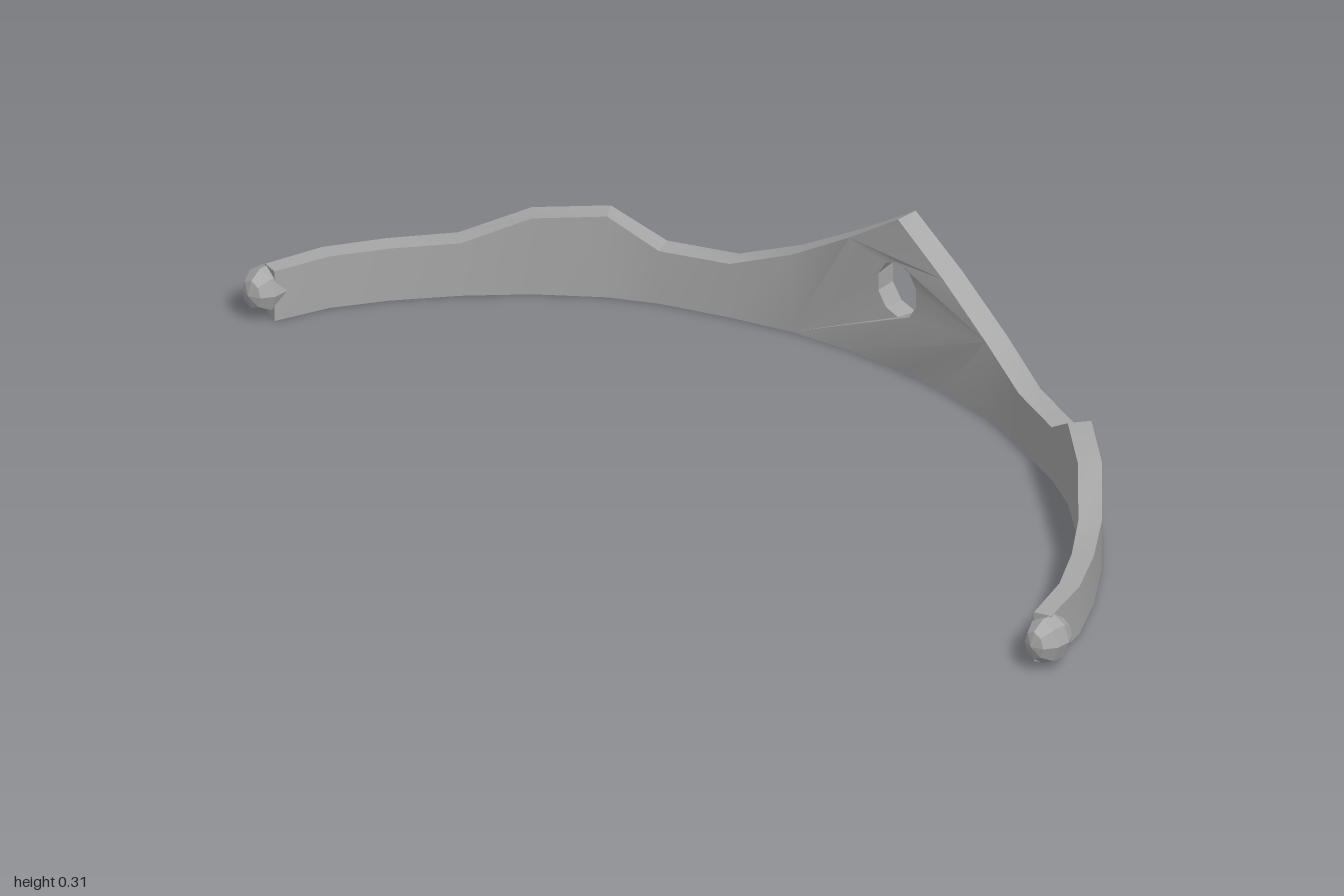
import * as THREE from 'three';
import { mergeGeometries, toCreasedNormals } from 'three/addons/utils/BufferGeometryUtils.js';

// Stations along one half of the band: outer x, outer z, top height, thickness
const half = [
  [0, -0.355, 0.305, 0.046], [0.12, -0.35, 0.228, 0.046], [0.25, -0.328, 0.155, 0.045],
  [0.37, -0.288, 0.108, 0.043], [0.5, -0.238, 0.106, 0.043], [0.59, -0.188, 0.163, 0.043],
  [0.7, -0.1, 0.153, 0.043], [0.79, -0.005, 0.106, 0.042], [0.87, 0.1, 0.105, 0.04],
  [0.93, 0.2, 0.104, 0.038], [0.965, 0.31, 0.1, 0.034],
];

// Inward horizontal direction at each station (the centre points straight forward)
const inward = half.map((s, i) => {
  if (i === 0) return [0, 1];
  const a = half[i - 1], b = half[Math.min(i + 1, half.length - 1)];
  const dx = b[0] - a[0], dz = b[1] - a[1], l = Math.hypot(dx, dz);
  return [-dz / l, dx / l];
});

// Bend a flat point (x, y, depth 0 outside to 1 inside) onto the arc
function bend(x, y, d) {
  const ax = Math.abs(x), sign = Math.sign(x);
  let i = 0;
  while (i < half.length - 2 && ax > half[i + 1][0]) i++;
  const a = half[i], b = half[i + 1];
  const t = (ax - a[0]) / (b[0] - a[0]);
  const mix = (p, q) => p + (q - p) * t;
  const depth = mix(a[3], b[3]) * d;
  const nx = mix(inward[i][0], inward[i + 1][0]), nz = mix(inward[i][1], inward[i + 1][1]);
  return [sign * (ax + nx * depth), y, mix(a[1], b[1]) + nz * depth];
}

function ring(cx, cy, rx, ry, n) {
  return Array.from({ length: n }, (_, k) => {
    const a = ((k + 0.5) / n) * Math.PI * 2;
    return new THREE.Vector2(cx + rx * Math.cos(a), cy + ry * Math.sin(a));
  });
}

// Extrude an outline from depth d0 to d1 and bend it; an optional hole flares outward
function panel(points, hole, d0 = 0, d1 = 1) {
  const shape = new THREE.Shape(points);
  if (hole) shape.holes.push(new THREE.Path(ring(...hole)));
  const g = new THREE.ExtrudeGeometry(shape, { depth: d1 - d0, bevelEnabled: false, steps: 1 });
  g.deleteAttribute('uv');
  const p = g.attributes.position;
  for (let k = 0; k < p.count; k++) {
    let x = p.getX(k), y = p.getY(k);
    const d = p.getZ(k) + d0;
    if (hole && d === 0) {
      const [cx, cy, rx, ry] = hole;
      if (Math.hypot((x - cx) / rx, (y - cy) / ry) < 1.02) {
        x = cx + (x - cx) * 1.12;
        y = cy + (y - cy) * 1.12;
      }
    }
    if (y === 0 && d === 0) y = 0.009; // eased lower outer edge
    p.setXYZ(k, ...bend(x, y, d));
  }
  return g;
}

export function createModel() {
  const group = new THREE.Group();
  const metal = new THREE.MeshStandardMaterial({ color: 0xa6a6a6 });
  metal.name = 'grey metal';
  const v = (x, y) => new THREE.Vector2(x, y);
  const add = (name, geometry) => {
    const m = new THREE.Mesh(geometry, metal);
    m.name = name;
    group.add(m);
    return m;
  };

  // Pointed centre panel with its round opening
  const xs = [-2, -1, 0, 1, 2].map((i) => Math.sign(i) * half[Math.abs(i)][0]);
  const tops = [2, 1, 0, 1, 2].map((i) => half[i][2]);
  const outline = [...xs.map((x) => v(x, 0)), ...xs.map((x, i) => v(x, tops[i])).reverse()];
  const parts = [panel(outline, [0, 0.163, 0.051, 0.055, 10])];

  // Side panels, the crested one holding a round socket
  const socket = [0.642, 0.117, 0.027, 0.034, 8];
  for (const s of [1, -1]) {
    for (let i = 2; i < half.length - 1; i++) {
      const a = half[i], b = half[i + 1];
      const quad = [v(s * a[0], 0), v(s * b[0], 0), v(s * b[0], b[2]), v(s * a[0], a[2])];
      const hole = i === 5 ? [s * socket[0], ...socket.slice(1)] : null;
      parts.push(panel(quad, hole));
      // Socket floor, flush with the inner face
      if (hole) parts.push(panel(ring(...hole), null, 0.55, 1));
    }
  }
  add('band', toCreasedNormals(mergeGeometries(parts), 0.5));

  // Faceted knobs on the two ends
  for (const s of [1, -1]) {
    const g = new THREE.SphereGeometry(1, 8, 5).toNonIndexed();
    g.rotateX(Math.PI / 2);
    g.scale(0.039, 0.046, 0.046);
    g.computeVertexNormals();
    const knob = add(s > 0 ? 'leftEndKnob' : 'rightEndKnob', g);
    knob.position.set(s * 0.961, 0.055, 0.313);
  }
  return group;
}
